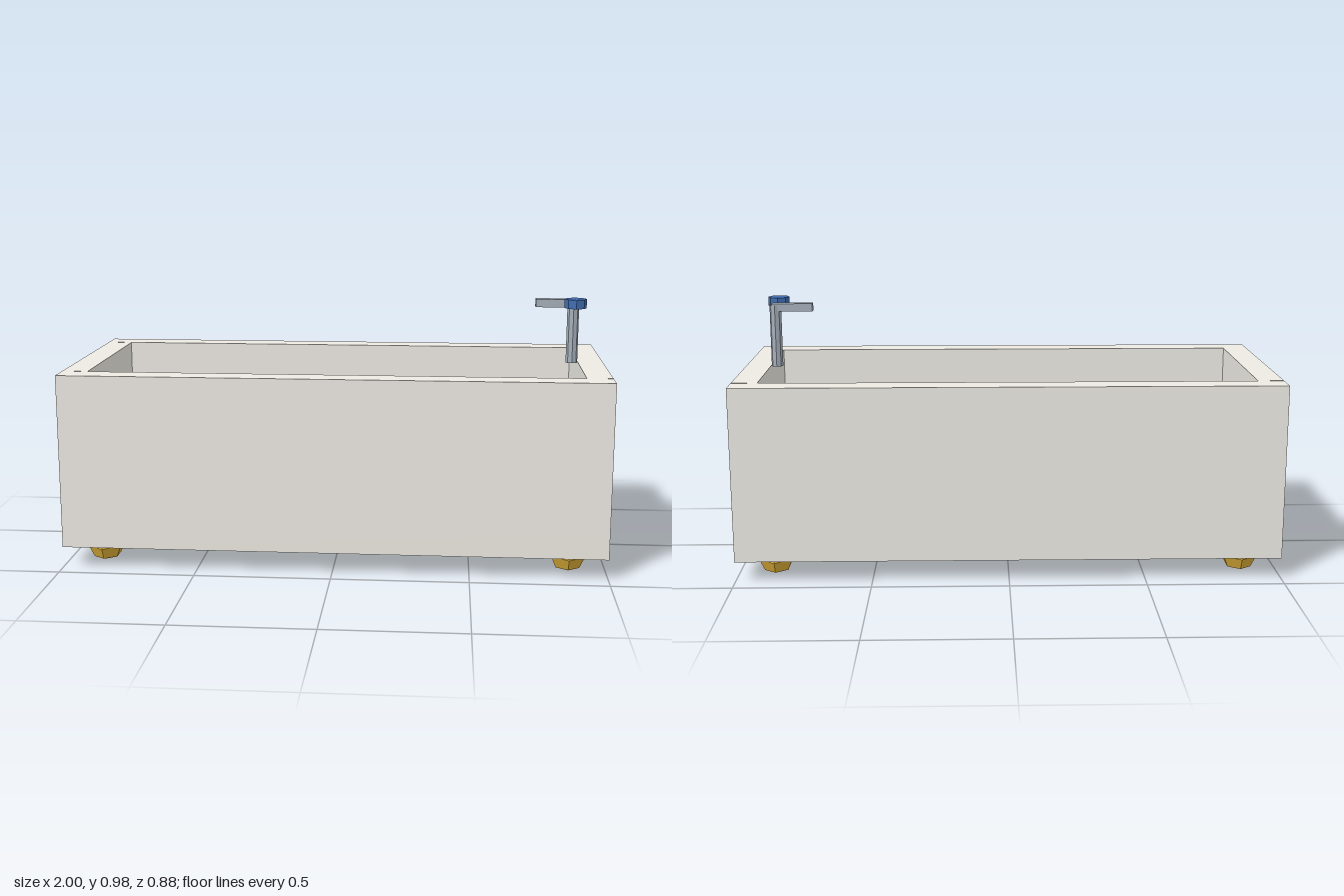
import * as THREE from 'three';

const mat = (color) => new THREE.MeshStandardMaterial({ color, flatShading: true });

export function createModel() {
  const tub = new THREE.Group();
  tub.name = 'bathtub';

  const stone = mat(0xeeebe4);
  const gold = mat(0xe4b43a);
  const steel = mat(0xa6afba);
  const blue = mat(0x3f6cb0);
  const waterBlue = mat(0x6db5d4);
  const grey = mat(0xcccccc);

  const add = (name, geometry, material, x, y, z) => {
    const mesh = new THREE.Mesh(geometry, material);
    mesh.name = name;
    mesh.position.set(x, y, z);
    tub.add(mesh);
    return mesh;
  };
  // Box given by its size, centre and bottom height
  const box = (name, material, w, h, d, x, bottom, z) =>
    add(name, new THREE.BoxGeometry(w, h, d), material, x, bottom + h / 2, z);
  // Faceted six-sided ball with corners along z
  const ball = (radius) => new THREE.SphereGeometry(radius, 6, 4).rotateY(Math.PI / 6);

  // Basin: floor slab, long walls and end walls set between them with a fine joint
  box('basinFloor', stone, 2, 0.092, 0.88, 0, 0.078, 0);
  for (const s of [-1, 1]) {
    box('longWall', stone, 2, 0.553, 0.093, 0, 0.17, s * 0.3935);
    box('endWall', stone, 0.095, 0.551, 0.69, s * 0.9525, 0.172, 0);
  }

  // Water with floating bubbles
  const waterTop = 0.23;
  box('water', waterBlue, 1.786, waterTop - 0.17, 0.67, 0, 0.17, 0);
  const bubbles = [
    [-0.12, -0.145, 0.083],
    [-0.47, 0.056, 0.06],
    [0.117, 0.175, 0.083],
    [0.352, 0.115, 0.06],
  ];
  for (const [x, z, r] of bubbles) add('bubble', ball(r), grey, x, waterTop, z);

  // Four oval feet
  for (const x of [-0.86, 0.86]) {
    for (const z of [-0.325, 0.325]) {
      add('foot', ball(0.07).scale(1, 0.9, 1.3), gold, x, 0.064, z);
    }
  }

  // Tap: upright pipe, spout over the basin and a round handle
  add('tapPipe', new THREE.CylinderGeometry(0.022, 0.022, 0.236, 8), steel, 0.881, 0.84, 0);
  box('tapSpout', steel, 0.153, 0.03, 0.036, 0.8155, 0.934, 0);
  add('tapHandle', new THREE.CylinderGeometry(0.041, 0.041, 0.034, 8), blue, 0.88, 0.959, 0.095);

  return tub;
}
